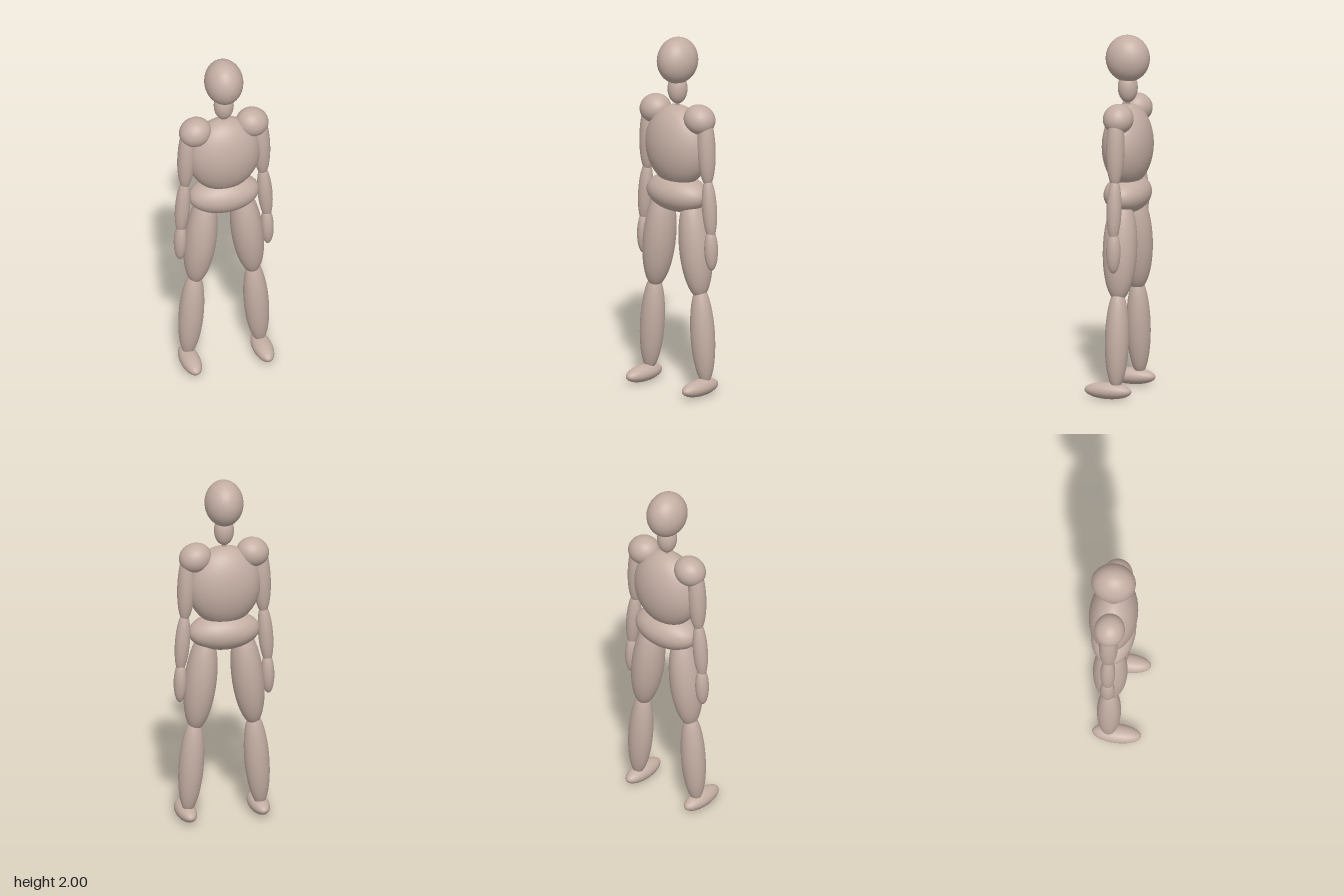
import * as THREE from 'three';

const skin = new THREE.MeshStandardMaterial({ color: 0xc4aea3 });
skin.name = 'clay';
const ball = new THREE.SphereGeometry(1, 40, 28);
const Z = -0.023; // depth of the body's midline

// Ellipsoid from its centre, half sizes and sideways tilt
function ellipsoid(name, [x, y, z], [rx, ry, rz], tilt = 0) {
  const mesh = new THREE.Mesh(ball, skin);
  mesh.name = name;
  mesh.position.set(x, y, z);
  mesh.scale.set(rx, ry, rz);
  mesh.rotation.z = tilt;
  return mesh;
}

// Long ellipsoid running from the top tip to the bottom tip
function limb(name, side, [x1, y1], [x2, y2], rx, rz) {
  const dx = x1 - x2, dy = y1 - y2;
  return ellipsoid(name, [side * (x1 + x2) / 2, (y1 + y2) / 2, Z],
    [rx, Math.hypot(dx, dy) / 2, rz], -side * Math.atan2(dx, dy));
}

export function createModel() {
  const figure = new THREE.Group();
  figure.name = 'figure';

  // Head and trunk
  figure.add(
    ellipsoid('head', [0, 1.87, Z], [0.106, 0.13, 0.123]),
    ellipsoid('neck', [0, 1.708, Z], [0.055, 0.085, 0.055]),
    ellipsoid('neckBase', [0, 1.63, Z], [0.012, 0.04, 0.012]),
    ellipsoid('chest', [0, 1.385, Z], [0.205, 0.23, 0.134]),
    ellipsoid('pelvis', [0, 1.115, Z], [0.2, 0.105, 0.123])
  );

  // Arms and legs, mirrored
  for (const [label, s] of [['left', 1], ['right', -1]]) {
    const arm = new THREE.Group();
    arm.name = label + 'Arm';
    arm.add(
      ellipsoid('shoulder', [s * 0.163, 1.563, Z], [0.091, 0.081, 0.084], -s * 0.3),
      limb('upperArm', s, [0.203, 1.62], [0.224, 1.19], 0.05, 0.051),
      limb('forearm', s, [0.222, 1.25], [0.25, 0.89], 0.041, 0.041),
      limb('hand', s, [0.245, 0.955], [0.252, 0.715], 0.036, 0.04)
    );
    const leg = new THREE.Group();
    leg.name = label + 'Leg';
    leg.add(
      limb('thigh', s, [0.1, 1.12], [0.167, 0.54], 0.088, 0.095),
      limb('shin', s, [0.165, 0.615], [0.207, 0.055], 0.069, 0.066),
      ellipsoid('foot', [s * 0.207, 0.046, 0.022], [0.055, 0.046, 0.135])
    );
    figure.add(arm, leg);
  }
  return figure;
}
